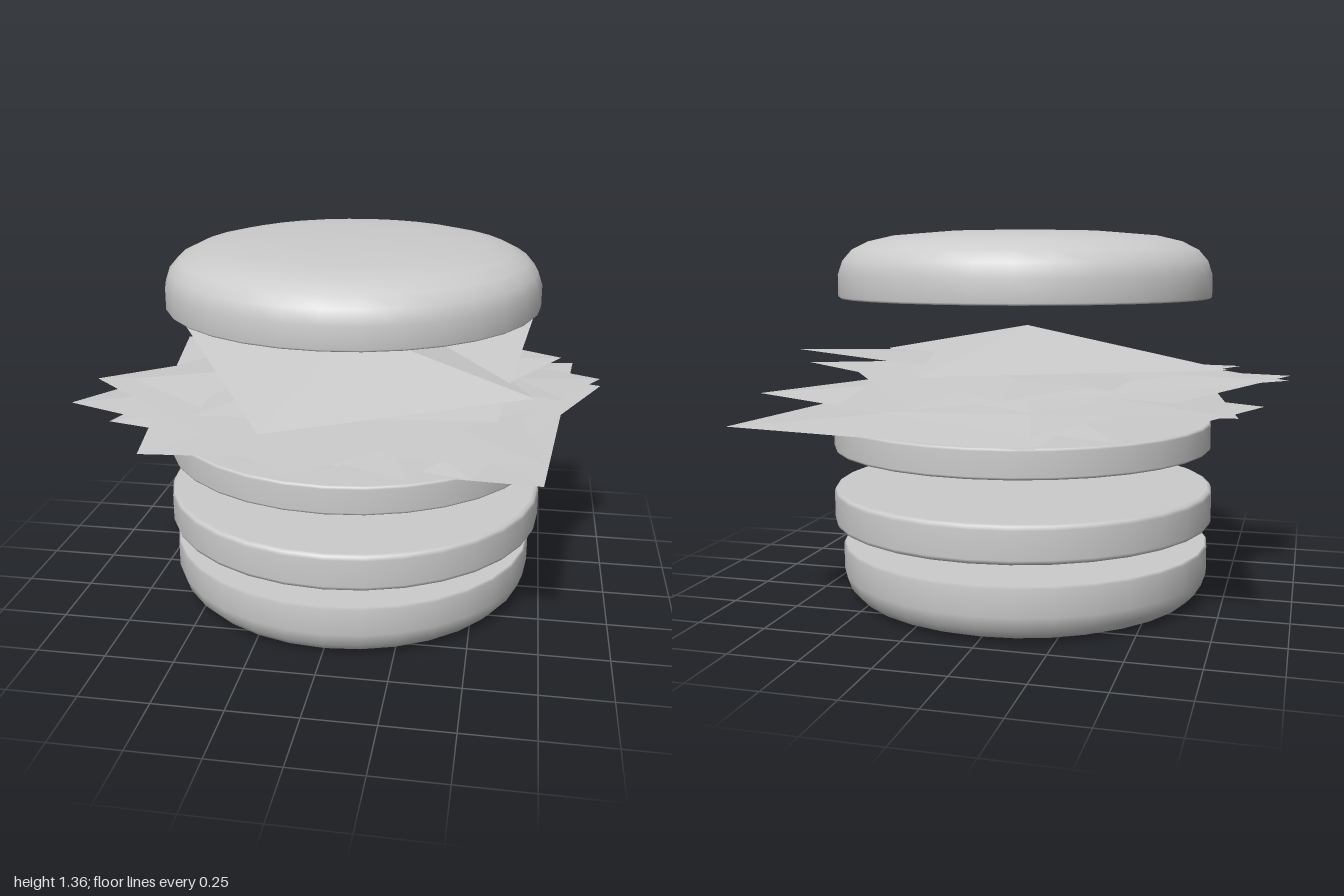
import * as THREE from 'three';

const smooth = new THREE.MeshStandardMaterial({ color: 0xcccccc });
const leafy = new THREE.MeshStandardMaterial({ color: 0xcccccc, flatShading: true, side: THREE.DoubleSide });

// Round layer turned from a profile of [radius, height], bottom centre to top centre
function layer(name, profile, x = 0.006, z = -0.04) {
  const points = profile.map(([r, y]) => new THREE.Vector2(r, y));
  const mesh = new THREE.Mesh(new THREE.LatheGeometry(points, 32), smooth);
  mesh.name = name;
  mesh.position.set(x, 0, z);
  return mesh;
}

// Flat disc with softened rims
function discProfile(r, y0, y1, b) {
  return [
    [0, y0], [r - b, y0], [r - b * 0.3, y0 + b * 0.3], [r, y0 + b],
    [r, y1 - b], [r - b * 0.3, y1 - b * 0.3], [r - b, y1], [0, y1],
  ];
}

// Thin four-cornered leaf, creased from its middle to each corner
function leaf(corners, middleHeight) {
  const middle = [0, middleHeight, -0.04];
  const positions = [];
  corners.forEach((corner, i) => positions.push(...middle, ...corner, ...corners[(i + 1) % 4]));
  const geometry = new THREE.BufferGeometry();
  geometry.setAttribute('position', new THREE.Float32BufferAttribute(positions, 3));
  geometry.computeVertexNormals();
  return new THREE.Mesh(geometry, leafy);
}

export function createModel() {
  const model = new THREE.Group();
  model.name = 'layeredBurger';

  // Bottom bun, rounded towards its base
  model.add(layer('bottomBun', [
    [0, 0], [0.6, 0], [0.645, 0.018], [0.675, 0.05], [0.692, 0.1],
    [0.692, 0.197], [0.684, 0.205], [0, 0.205],
  ]));

  // Patty and the slice above it
  model.add(layer('patty', discProfile(0.714, 0.28, 0.415, 0.018), 0.015));
  model.add(layer('slice', discProfile(0.709, 0.56, 0.664, 0.01), 0.017));

  // Stack of lettuce leaves: four corners, then the height of the middle
  const leaves = [
    [[[-0.2, 0.66, -0.74], [-0.3, 0.75, 0.7], [0.73, 0.69, 0.62], [0.86, 0.7, -0.76]], 0.72],
    [[[-0.5, 0.72, -0.88], [-0.87, 0.69, 0.25], [0.5, 0.74, 0.72], [0.95, 0.75, -0.29]], 0.77],
    [[[-0.83, 0.775, -0.65], [-0.62, 0.73, 0.65], [0.72, 0.82, 0.75], [0.48, 0.77, -0.77]], 0.79],
    [[[-0.26, 0.75, -1], [-0.96, 0.8, 0.37], [0.31, 0.78, 0.84], [0.95, 0.76, -0.35]], 0.82],
    [[[0.16, 0.8, -0.88], [-0.96, 0.81, 0.11], [-0.04, 0.83, 1], [0.8, 0.82, 0.13]], 0.85],
    [[[-0.14, 0.84, -0.9], [-0.78, 0.85, 0.21], [0.09, 0.8, 0.82], [0.79, 0.87, -0.25]], 0.88],
    [[[-0.44, 0.85, -0.67], [-0.45, 0.84, 0.55], [0.57, 0.86, 0.5], [0.68, 0.95, -0.57]], 0.9],
    [[[-0.78, 0.9, -0.42], [-0.18, 0.86, 0.74], [0.69, 0.88, 0.3], [0.13, 0.9, -0.87]], 1.01],
  ];
  const lettuce = new THREE.Group();
  lettuce.name = 'lettuce';
  leaves.forEach(([corners, height], i) => {
    const mesh = leaf(corners, height);
    mesh.name = `lettuceLeaf${i + 1}`;
    lettuce.add(mesh);
  });
  model.add(lettuce);

  // Domed top bun with a flat underside
  model.add(layer('topBun', [
    [0, 1.115], [0.685, 1.115], [0.692, 1.122], [0.692, 1.2], [0.675, 1.25], [0.64, 1.29],
    [0.58, 1.32], [0.49, 1.341], [0.28, 1.358], [0, 1.36],
  ]));

  return model;
}
